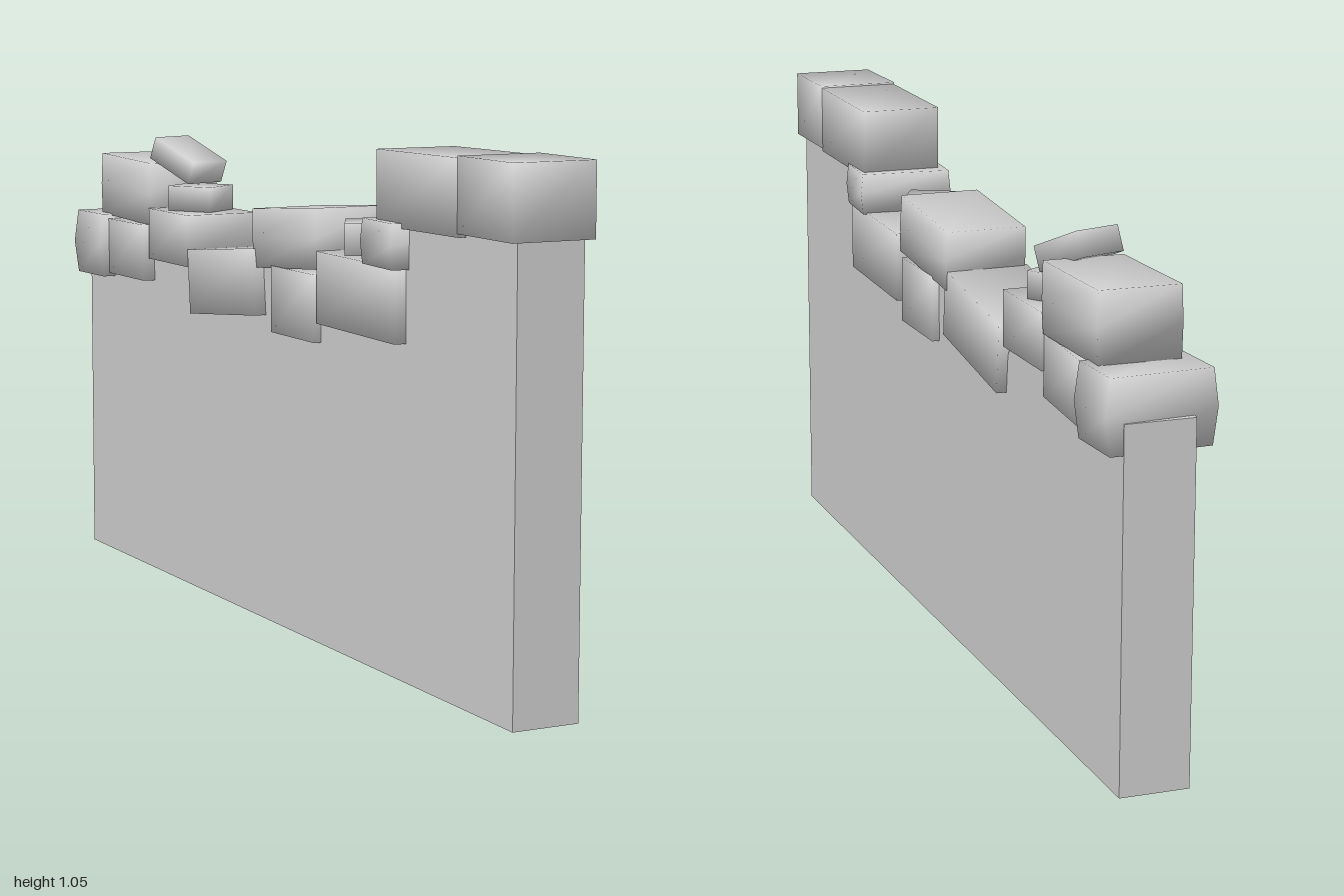
import * as THREE from 'three';
import { mergeVertices } from 'three/addons/utils/BufferGeometryUtils.js';

const material = new THREE.MeshStandardMaterial({ color: 0xcccccc });

// Box with shared corners, so its shading runs softly over the edges.
// bulge pushes out a ring of corners at mid height.
function stoneGeometry(w, h, len, bulge) {
  let g = new THREE.BoxGeometry(w, h, len, 1, bulge ? 2 : 1, 1);
  g.deleteAttribute('normal');
  g.deleteAttribute('uv');
  g = mergeVertices(g);
  const p = g.attributes.position;
  for (let i = 0; i < p.count; i++) {
    if (Math.abs(p.getY(i)) < 0.001) p.setX(i, p.getX(i) * (1 + bulge));
  }
  g.computeVertexNormals();
  return g;
}

// x, y, z of the centre, width, height, length, yaw, pitch, bulge
const stones = [
  ['frontCapStone', 0, 0.977, 0.9, 0.176, 0.145, 0.2, 0, 0],
  ['longCapStone', 0, 0.97, 0.642, 0.174, 0.148, 0.322, 0, -0.01],
  ['stepStone', -0.005, 0.861, 0.52, 0.196, 0.09, 0.14, -0.07, 0, 0.05],
  ['lowerStone', 0, 0.745, 0.4, 0.182, 0.148, 0.352, -0.03, 0],
  ['pebble', -0.005, 0.85, 0.3, 0.1, 0.068, 0.1, -0.5, 0],
  ['middleCapStone', 0, 0.832, 0.075, 0.172, 0.125, 0.29, 0.01, -0.08, 0.03],
  ['smallLowerStone', 0, 0.7, 0.115, 0.176, 0.14, 0.195, 0.01, 0],
  ['tiltedStone', -0.002, 0.711, -0.225, 0.178, 0.142, 0.355, -0.03, -0.1],
  ['riserStone', 0, 0.782, -0.517, 0.172, 0.115, 0.205, 0.015, 0],
  ['smallStone', 0, 0.868, -0.525, 0.1, 0.056, 0.11, 0.6, 0],
  ['tippedSlab', -0.003, 0.95, -0.585, 0.1, 0.052, 0.14, 0.3, 0.38],
  ['rearCapStone', 0.003, 0.873, -0.767, 0.164, 0.142, 0.286, -0.01, 0.02, 0.03],
  ['rearLowerStone', -0.004, 0.735, -0.735, 0.178, 0.128, 0.226, -0.05, -0.02],
  ['rearEndStone', -0.002, 0.734, -0.926, 0.206, 0.147, 0.136, 0.05, 0, 0.1],
];

export function createModel() {
  const model = new THREE.Group();

  // Plain wall slab with a broken, stepped top
  const outline = [
    [-1, 0], [0.99, 0], [0.99, 0.92], [0.56, 0.92], [0.54, 0.75], [0.1, 0.75],
    [-0.04, 0.77], [-0.1, 0.72], [-0.4, 0.7], [-0.45, 0.78], [-0.6, 0.79], [-1, 0.72],
  ].map(([z, y]) => new THREE.Vector2(z, y));
  const wallGeometry = new THREE.ExtrudeGeometry(new THREE.Shape(outline), {
    depth: 0.142, bevelEnabled: false,
  });
  wallGeometry.translate(0, 0, -0.071).rotateY(-Math.PI / 2);
  const wall = new THREE.Mesh(wallGeometry, material);
  wall.name = 'wall';
  model.add(wall);

  // Loose stones along the broken top
  for (const [name, x, y, z, w, h, len, yaw, pitch, bulge = 0] of stones) {
    const stone = new THREE.Mesh(stoneGeometry(w, h, len, bulge), material);
    stone.name = name;
    stone.position.set(x, y, z);
    stone.rotation.set(pitch, yaw, 0, 'YXZ');
    model.add(stone);
  }
  return model;
}
